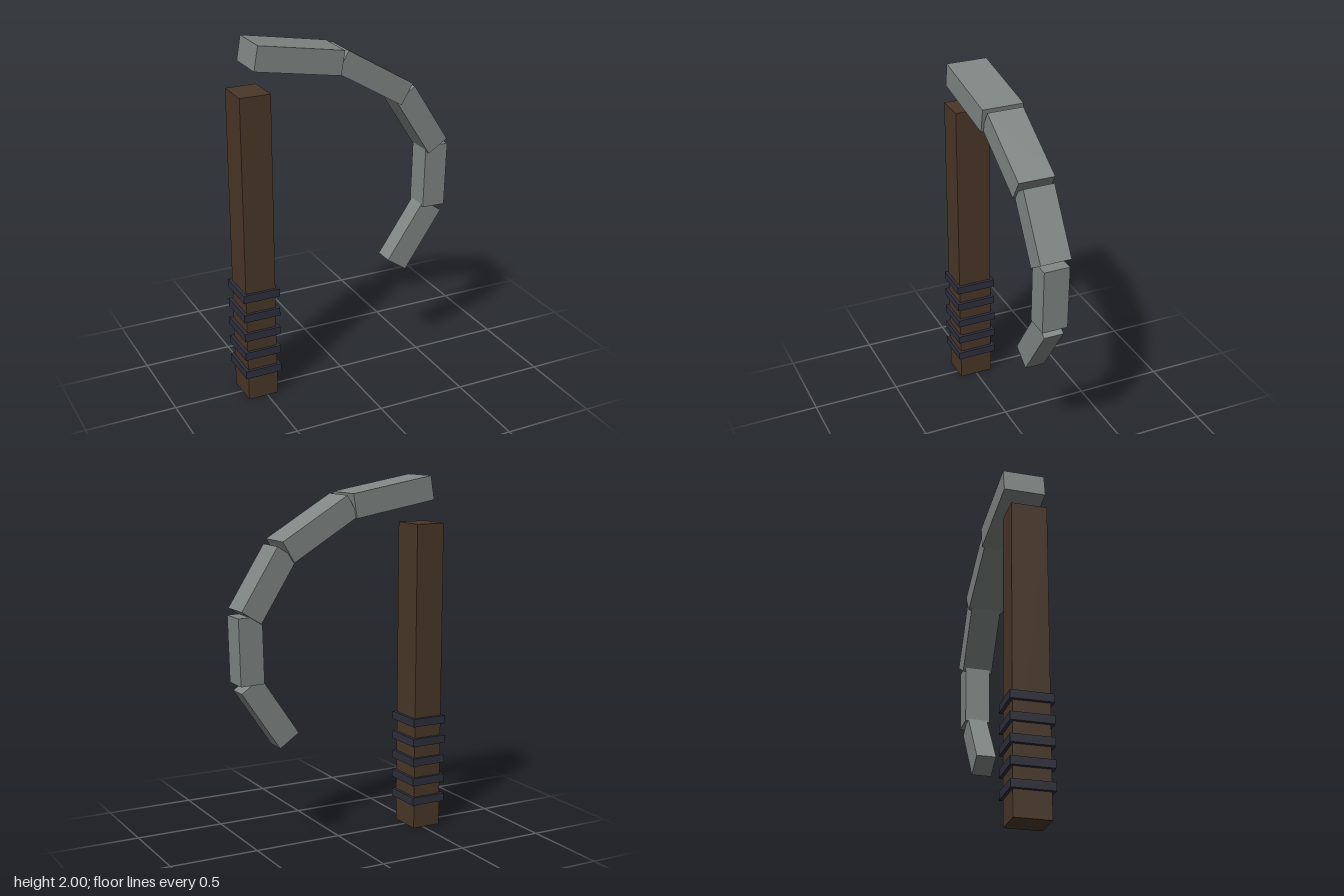
import * as THREE from 'three';

export function createModel() {
  const model = new THREE.Group();
  model.name = 'sickle';

  const material = (name, color) => {
    const m = new THREE.MeshStandardMaterial({ color });
    m.name = name;
    return m;
  };
  const wood = material('dark brown wood', 0x4a3728);
  const wrap = material('dark blue grip', 0x2e2f3c);
  const steel = material('grey steel', 0x808784);

  const box = (name, mat, size, pos, degrees = 0) => {
    const mesh = new THREE.Mesh(new THREE.BoxGeometry(...size), mat);
    mesh.name = name;
    mesh.position.set(...pos);
    mesh.rotation.z = THREE.MathUtils.degToRad(degrees);
    model.add(mesh);
  };

  // Upright square handle
  const handleX = -0.523;
  box('handle', wood, [0.17, 1.735, 0.196], [handleX, 0.8675, 0]);

  // Five grip bands around the lower handle
  for (let i = 0; i < 5; i++) {
    box(`gripBand${i + 1}`, wrap, [0.207, 0.045, 0.23], [handleX, 0.164 + i * 0.115, 0]);
  }

  // Curved blade of five boxes, narrowing in depth toward the tip:
  // centre x, centre y, length, thickness, depth, angle in degrees
  const segments = [
    [-0.281, 1.89, 0.487, 0.133, 0.23, -9.8],
    [0.155, 1.737, 0.442, 0.13, 0.202, -30.8],
    [0.449, 1.457, 0.387, 0.131, 0.172, -57.6],
    [0.549, 1.116, 0.36, 0.135, 0.143, -91.5],
    [0.436, 0.769, 0.39, 0.134, 0.111, -124.2],
  ];
  segments.forEach(([x, y, length, thickness, depth, angle], i) => {
    box(`bladeSegment${i + 1}`, steel, [length, thickness, depth], [x, y, 0], angle);
  });

  return model;
}
